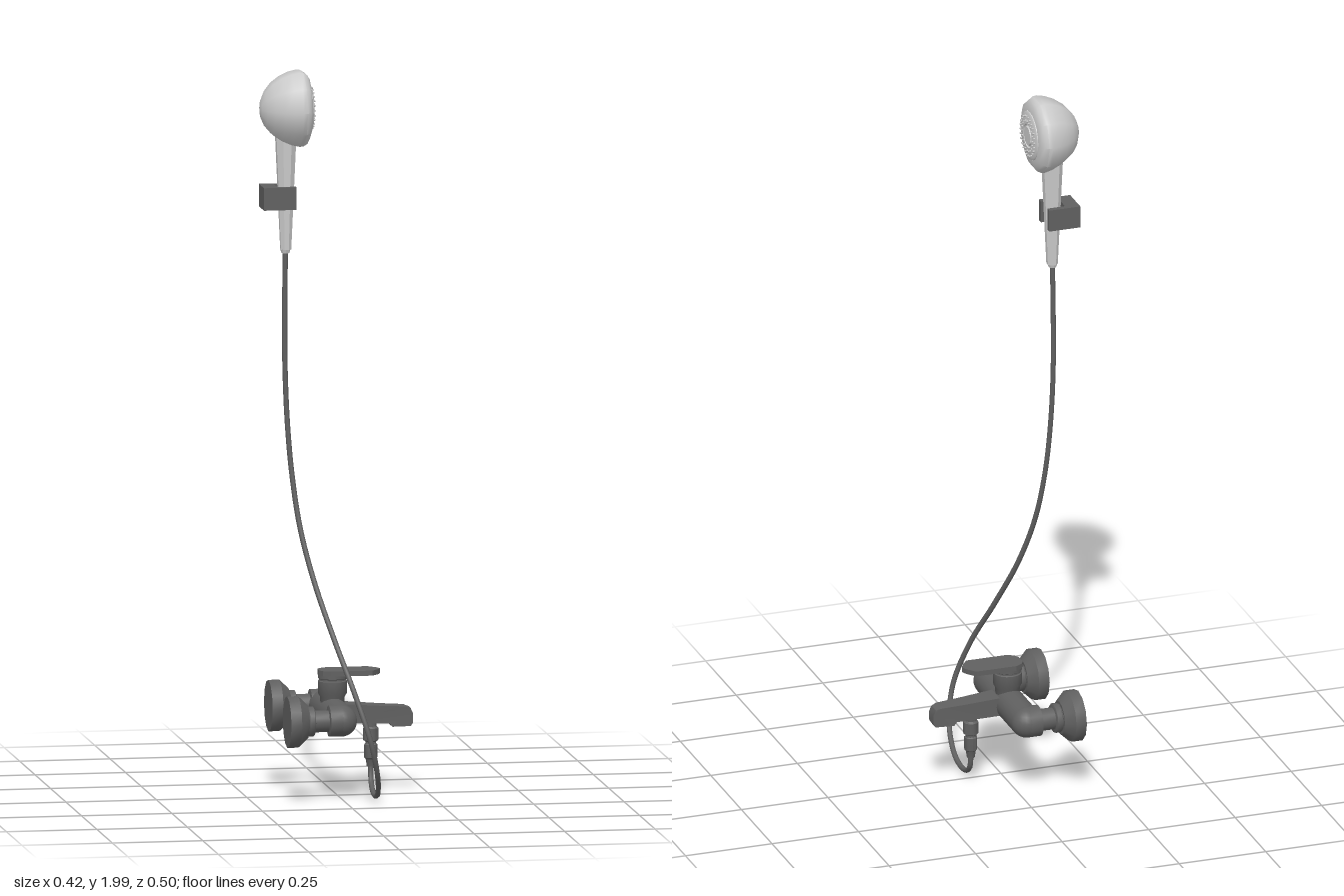
import * as THREE from 'three';
import { toCreasedNormals } from 'three/addons/utils/BufferGeometryUtils.js';

const light = new THREE.MeshStandardMaterial({ color: 0xcccccc });
const dark = new THREE.MeshStandardMaterial({ color: 0x606060 });
const v2 = (p) => new THREE.Vector2(p[0], p[1]);
const crease = (g, deg = 40) => toCreasedNormals(g, THREE.MathUtils.degToRad(deg));

function add(parent, name, geometry, material, x = 0, y = 0, z = 0) {
  const mesh = new THREE.Mesh(geometry, material);
  mesh.name = name;
  mesh.position.set(x, y, z);
  parent.add(mesh);
  return mesh;
}

// Turned form around the y axis, points are [radius, height] going up
const turned = (points, sides) => crease(new THREE.LatheGeometry(points.map(v2), sides));
// The same, laid along +x
const turnedX = (points, sides) => turned(points, sides).rotateZ(-Math.PI / 2);

// Flat outline in x / z with thickness along y
const slab = (points, height) => crease(
  new THREE.ExtrudeGeometry(new THREE.Shape(points.map(v2)), { depth: height, bevelEnabled: false })
    .rotateX(-Math.PI / 2), 25);

function buildShowerHead(parent) {
  const head = new THREE.Group();
  head.name = 'showerHead';
  head.position.y = 1.898;
  parent.add(head);

  // Domed back, rounded rim and raised face plate
  add(head, 'headShell', turnedX([
    [0, -0.211], [0.025, -0.207], [0.05, -0.196], [0.073, -0.177], [0.091, -0.152],
    [0.102, -0.127], [0.107, -0.105], [0.106, -0.094], [0.099, -0.083], [0.086, -0.076],
    [0.07, -0.074]], 10), light);
  add(head, 'facePlate', turnedX([
    [0.07, -0.078], [0.068, -0.072], [0.062, -0.069], [0.034, -0.067], [0.032, -0.071],
    [0.028, -0.071], [0.026, -0.066], [0, -0.066]], 20), light);

  // Two rings of spray nozzles
  const nozzle = new THREE.CylinderGeometry(0.0022, 0.0028, 0.006, 6).rotateZ(-Math.PI / 2);
  for (const [radius, count] of [[0.043, 20], [0.056, 26]]) {
    for (let i = 0; i < count; i++) {
      const a = (i / count) * Math.PI * 2;
      add(head, 'nozzle', nozzle, light, -0.067, radius * Math.sin(a), radius * Math.cos(a));
    }
  }

  // Tapered eight-sided handle
  const handle = new THREE.CylinderGeometry(1, 0.5, 0.34, 8, 1);
  handle.rotateY(Math.PI / 8).scale(0.031, 1, 0.034);
  add(parent, 'handle', crease(handle, 20), light, -0.138, 1.68, 0);
  add(parent, 'handleCollar', turned([[0, 0], [0.011, 0], [0.015, 0.012], [0, 0.012]], 8),
    light, -0.139, 1.5, 0);
}

// U-shaped wall clamp around the handle
function buildHolder(parent) {
  add(parent, 'wallHolder', slab([
    [-0.205, -0.042], [-0.115, -0.042], [-0.115, -0.026], [-0.166, -0.026],
    [-0.166, 0.026], [-0.115, 0.026], [-0.115, 0.042], [-0.205, 0.042]], 0.062),
  dark, 0, 1.624, 0);
}

function buildMixer(parent) {
  const mixer = new THREE.Group();
  mixer.name = 'mixer';
  parent.add(mixer);
  const barX = -0.01, barY = 0.23, half = 0.152, r = 0.043;

  // Cross bar with rounded elbows
  add(mixer, 'crossBar', new THREE.CylinderGeometry(r, r, half * 2, 20, 1, true)
    .rotateX(Math.PI / 2), dark, barX, barY, 0);
  for (const side of [-1, 1]) {
    const z = side * half;
    add(mixer, 'elbow', new THREE.SphereGeometry(r, 20, 14), dark, barX, barY, z);
    add(mixer, 'elbowSleeve', turnedX([[r, 0], [r, 0.035]], 20), dark, -0.045, barY, z);
    add(mixer, 'elbowShoulder', turnedX([[0, -0.002], [0.034, -0.002], [r, 0]], 20),
      dark, -0.045, barY, z);
    add(mixer, 'inletPipe', turnedX([[0.03, -0.1], [0.03, -0.03]], 16), dark, 0, barY, z);
    add(mixer, 'unionNut', turnedX([
      [0, -0.108], [0.039, -0.108], [0.039, -0.104], [0.041, -0.102], [0.041, -0.088],
      [0.038, -0.086], [0, -0.086]], 12), dark, 0, barY, z);
    add(mixer, 'wallFlange', turnedX([
      [0, -0.16], [0.071, -0.16], [0.071, -0.13], [0.047, -0.105], [0, -0.105]], 12),
    dark, 0, barY, z);
  }

  // Upright cartridge housing
  add(mixer, 'housing', turned([
    [0, 0.22], [0.032, 0.22], [0.034, 0.275], [0.04, 0.285], [0.04, 0.318], [0.037, 0.32],
    [0.037, 0.324], [0.04, 0.326], [0.04, 0.34], [0, 0.34]], 16), dark, -0.009, 0, 0);

  // Flat lever with clipped ends
  add(mixer, 'lever', slab([
    [-0.048, -0.014], [-0.04, -0.03], [-0.021, -0.041], [0.095, -0.041], [0.115, -0.017],
    [0.122, 0], [0.115, 0.017], [0.095, 0.041], [-0.021, 0.041], [-0.04, 0.03],
    [-0.048, 0.014]], 0.014), dark, 0, 0.335, 0);

  // Spout: side outline narrowed towards its tip
  const outline = [
    [0, 0.205], [0.145, 0.2], [0.153, 0.19], [0.205, 0.19], [0.211, 0.2],
    [0.211, 0.225], [0.204, 0.24], [0.19, 0.245], [0.12, 0.249], [0, 0.258]];
  const spout = new THREE.ExtrudeGeometry(new THREE.Shape(outline.map(v2)),
    { depth: 1, bevelEnabled: false }).translate(0, 0, -0.5);
  const pos = spout.attributes.position;
  for (let i = 0; i < pos.count; i++) {
    const x = pos.getX(i);
    const width = 0.066 - 0.11 * x - (x > 0.2 ? 0.006 : 0);
    pos.setZ(i, pos.getZ(i) * width);
  }
  add(mixer, 'spout', crease(spout, 30), dark);

  // Hose connector beneath the spout
  add(mixer, 'hoseConnector', turned([
    [0, 0.08], [0.011, 0.08], [0.014, 0.1], [0.018, 0.104], [0.018, 0.14], [0.015, 0.143],
    [0.015, 0.148], [0.021, 0.152], [0.021, 0.185], [0.016, 0.19], [0.016, 0.21], [0, 0.21]], 12),
  dark, 0.097, 0, 0);
}

// Flexible hose hanging in a loop
function buildHose(parent) {
  const path = new THREE.CatmullRomCurve3([
    [-0.139, 1.51, 0], [-0.14, 1.35, -0.004], [-0.139, 1.18, -0.005], [-0.133, 1.02, 0.002],
    [-0.122, 0.88, 0.015], [-0.104, 0.74, 0.043], [-0.073, 0.6, 0.09], [-0.03, 0.45, 0.165],
    [0.014, 0.31, 0.24], [0.053, 0.18, 0.27], [0.075, 0.088, 0.24], [0.088, 0.03, 0.168],
    [0.092, 0.013, 0.095], [0.094, 0.024, 0.04], [0.096, 0.05, 0.008], [0.097, 0.09, 0],
  ].map((p) => new THREE.Vector3(...p)));
  add(parent, 'hose', new THREE.TubeGeometry(path, 110, 0.0073, 8), dark);
}

export function createModel() {
  const model = new THREE.Group();
  model.name = 'showerSet';
  const body = new THREE.Group();
  body.name = 'fittings';
  body.position.z = -0.0275;
  model.add(body);
  buildShowerHead(body);
  buildHolder(body);
  buildMixer(body);
  buildHose(body);
  return model;
}
